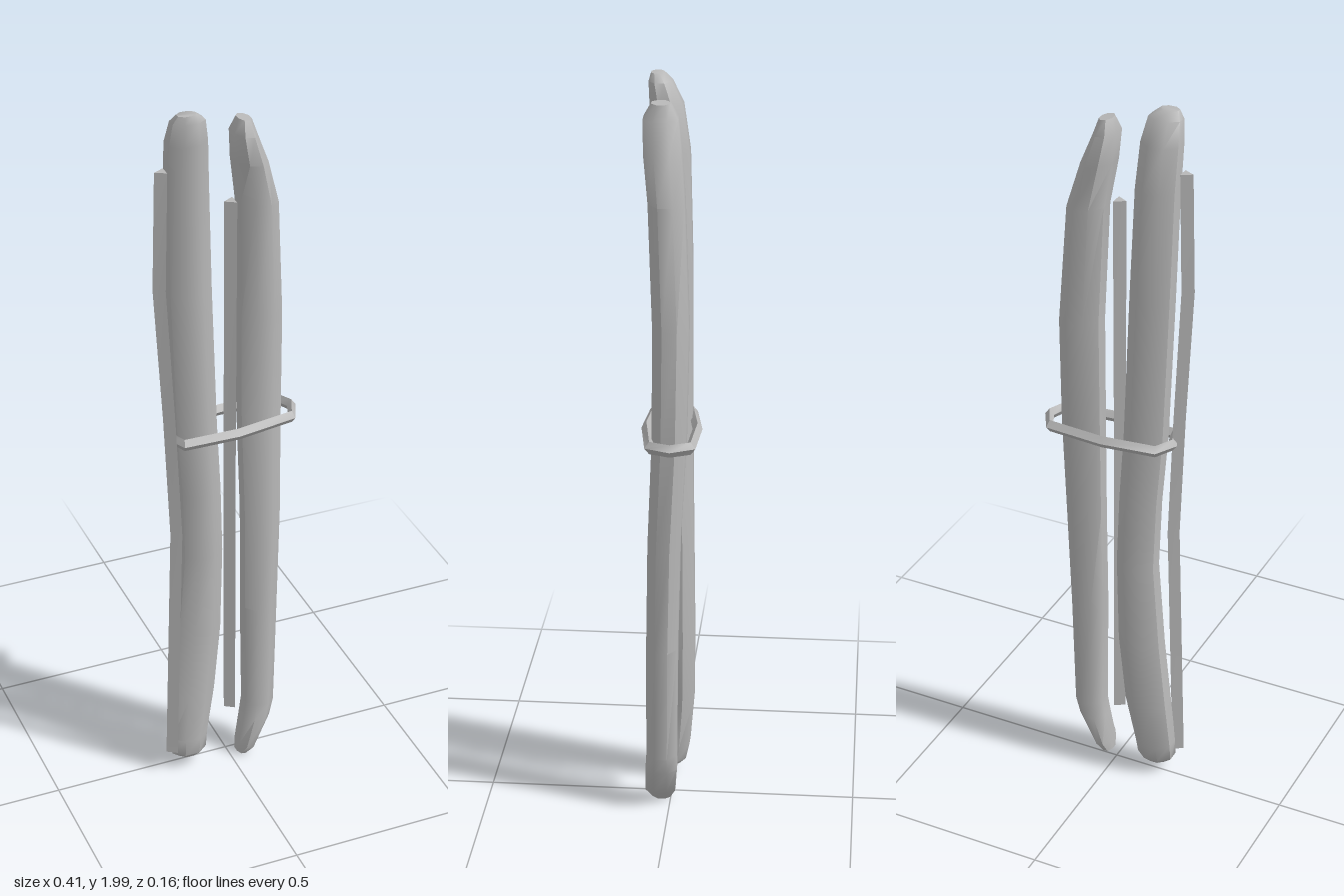
import * as THREE from 'three';
import { toCreasedNormals } from 'three/addons/utils/BufferGeometryUtils.js';

// Lofts horizontal oval rings [x, y, z, radiusX, radiusZ], listed bottom to top, and caps both ends.
function loft(rings, sides, turn = 0, tilt = 0) {
  const pos = [], index = [];
  for (const [x, y, z, rx, rz] of rings) {
    for (let i = 0; i < sides; i++) {
      const a = (i / sides) * Math.PI * 2 + turn;
      pos.push(x + Math.cos(a) * rx, y + tilt * Math.cos(a) * rx, z + Math.sin(a) * rz);
    }
  }
  for (let r = 0; r < rings.length - 1; r++) {
    for (let i = 0; i < sides; i++) {
      const a = r * sides + i, b = r * sides + (i + 1) % sides;
      index.push(a, a + sides, b, b, a + sides, b + sides);
    }
  }
  const top = (rings.length - 1) * sides;
  for (let i = 1; i < sides - 1; i++) {
    index.push(0, i, i + 1, top, top + i + 1, top + i);
  }
  const geo = new THREE.BufferGeometry();
  geo.setAttribute('position', new THREE.Float32BufferAttribute(pos, 3));
  geo.setIndex(index);
  return toCreasedNormals(geo, 0.85);
}

// Closed band: a diamond section swept around a flat loop of [x, z] corners.
function band(corners, y, radius, slope) {
  const pos = [], index = [], n = corners.length;
  corners.forEach(([x, z], i) => {
    const p = corners[(i + n - 1) % n], q = corners[(i + 1) % n];
    const out = new THREE.Vector2(q[1] - p[1], p[0] - q[0]).normalize();
    for (let k = 0; k < 4; k++) {
      const a = k * Math.PI / 2, o = Math.cos(a) * radius;
      pos.push(x + out.x * o, y + slope * x + Math.sin(a) * radius * 1.3, z + out.y * o);
      const b = (k + 1) % 4, j = (i + 1) % n;
      index.push(i * 4 + k, i * 4 + b, j * 4 + k, j * 4 + k, i * 4 + b, j * 4 + b);
    }
  });
  const geo = new THREE.BufferGeometry();
  geo.setAttribute('position', new THREE.Float32BufferAttribute(pos, 3));
  geo.setIndex(index);
  return toCreasedNormals(geo, 0.85);
}

export function createModel() {
  const group = new THREE.Group();
  const grey = new THREE.MeshStandardMaterial({ color: 0xb8b8b8 });
  grey.name = 'plain grey';
  const add = (name, geo) => {
    const mesh = new THREE.Mesh(geo, grey);
    mesh.name = name;
    group.add(mesh);
  };

  // Two thick sticks with blunt, bent ends
  add('thickStickRight', loft([
    [-0.12, 0.04, 0.01, 0.03, 0.025],
    [-0.12, 0.06, 0.01, 0.054, 0.044],
    [-0.118, 0.11, 0.005, 0.057, 0.05],
    [-0.1, 0.25, -0.005, 0.065, 0.052],
    [-0.08, 0.45, -0.008, 0.065, 0.052],
    [-0.067, 0.7, -0.008, 0.058, 0.05],
    [-0.073, 0.9, -0.005, 0.058, 0.05],
    [-0.086, 1.1, -0.002, 0.06, 0.05],
    [-0.1, 1.5, 0, 0.06, 0.05],
    [-0.108, 1.8, 0.008, 0.058, 0.05],
    [-0.112, 1.92, 0.022, 0.055, 0.046],
    [-0.114, 1.98, 0.038, 0.046, 0.032],
    [-0.12, 2.0, 0.046, 0.026, 0.018],
  ], 8, Math.PI / 8));
  add('thickStickLeft', loft([
    [0.036, 0.015, 0.025, 0.016, 0.026],
    [0.048, 0.045, 0.027, 0.026, 0.044],
    [0.078, 0.13, 0.022, 0.042, 0.046],
    [0.088, 0.18, 0.02, 0.045, 0.044],
    [0.09, 0.5, 0.018, 0.051, 0.045],
    [0.095, 0.8, 0.012, 0.055, 0.046],
    [0.095, 1.1, -0.002, 0.06, 0.048],
    [0.096, 1.4, -0.006, 0.061, 0.05],
    [0.082, 1.72, 0.006, 0.056, 0.05],
    [0.056, 1.84, 0.018, 0.047, 0.052],
    [0.037, 1.92, 0.024, 0.033, 0.048],
    [0.038, 1.957, 0.024, 0.019, 0.026],
  ], 8, Math.PI / 8, -0.15));

  // Two thin twigs
  add('thinTwigOuter', loft([
    [-0.174, 0.08, 0.035, 0.018, 0.02],
    [-0.152, 0.8, 0.032, 0.018, 0.02],
    [-0.166, 1.15, 0.028, 0.018, 0.02],
    [-0.186, 1.53, 0.023, 0.019, 0.02],
    [-0.177, 1.85, 0.023, 0.019, 0.018],
  ], 3, Math.PI));
  add('thinTwigMiddle', loft([
    [0.003, 0.18, 0.025, 0.018, 0.02],
    [0.003, 1.0, 0.025, 0.018, 0.02],
    [0.005, 1.74, 0.025, 0.019, 0.02],
  ], 3, Math.PI));

  // Tie around the bundle
  add('tieBand', band([
    [0.192, -0.01], [0.165, -0.062], [0.01, -0.068], [-0.132, -0.046],
    [-0.158, 0.005], [-0.137, 0.058], [0.01, 0.066], [0.17, 0.044],
  ], 1.087, 0.013, 0.03));
  return group;
}
